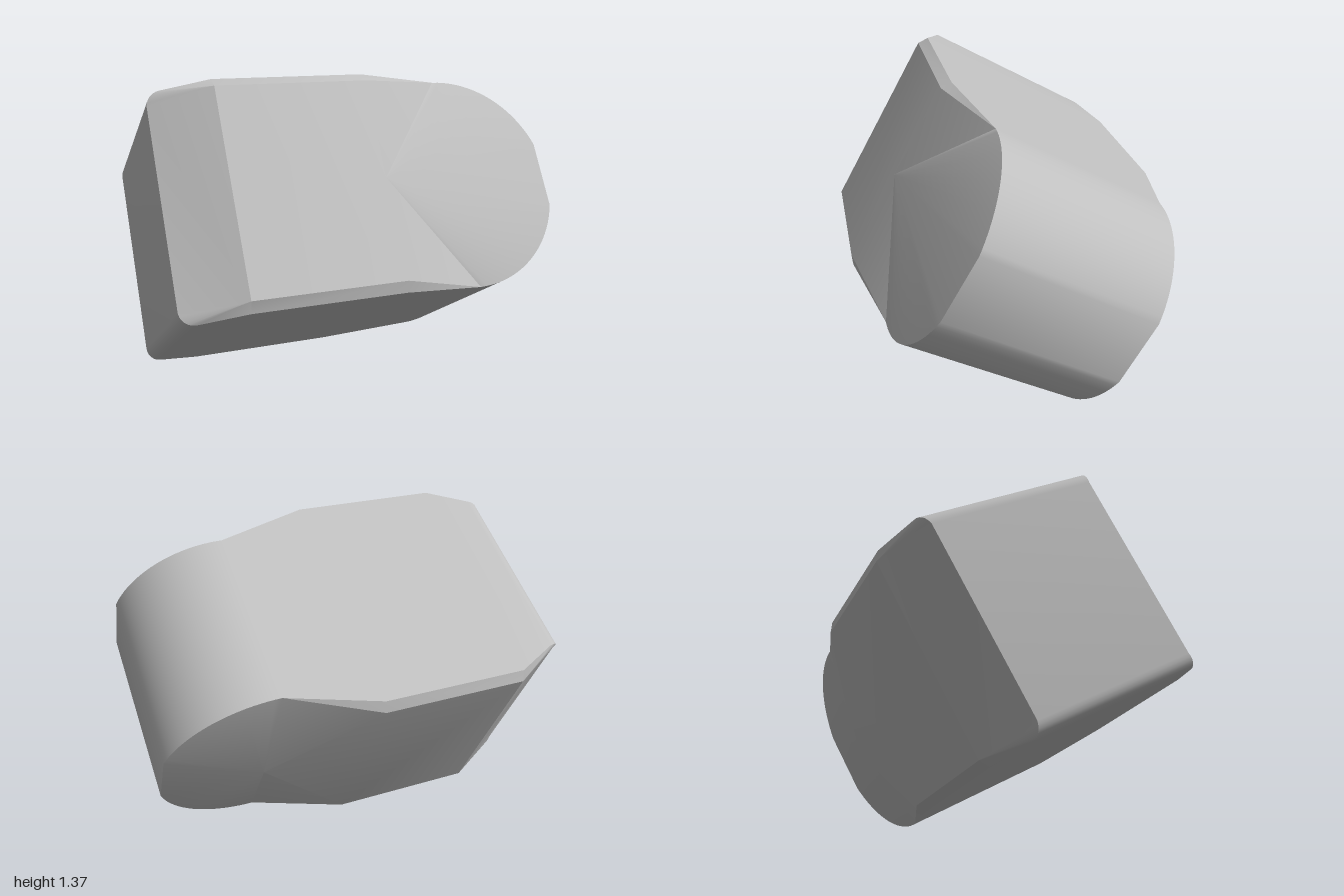
import * as THREE from 'three';
import { toCreasedNormals } from 'three/addons/utils/BufferGeometryUtils.js';

const HALF = 0.483;   // half height of the block
const FLAT = 0.56;    // half thickness at the flat middle
const RIM = 0.415;    // half thickness at both ends

// Right half-outline seen face on, counterclockwise: [along, up, half thickness, inner corner]
function outline() {
  const upper = [];
  // Rounded nose with a small flat tip
  const a0 = Math.asin(0.15 / HALF);
  for (let i = 0; i <= 20; i++) {
    const a = a0 + (Math.PI / 2 - a0) * i / 20;
    upper.push([0.467 + HALF * Math.cos(a), HALF * Math.sin(a), RIM, 'hub']);
  }
  // Straight edge, thickest between these two points
  upper.push([0.06, HALF, 0.53, 'nose'], [-0.6, HALF, 0.53, 'tail']);
  // Small rounded corner at the square end
  for (let i = 0; i <= 6; i++) {
    const a = Math.PI / 2 * (1 + i / 6);
    upper.push([-0.79 + 0.06 * Math.cos(a), HALF - 0.06 + 0.06 * Math.sin(a),
      0.44 - 0.025 * i / 6, 'tail']);
  }
  const lower = upper.map(([w, u, h, k]) => [w, -u, h, k]).reverse();
  return [...upper, ...lower];
}

function blockGeometry() {
  const ring = outline();
  const pos = [];
  const tri = (a, b, c) => {
    const area = new THREE.Vector3(...b).sub(new THREE.Vector3(...a))
      .cross(new THREE.Vector3(...c).sub(new THREE.Vector3(...a))).length();
    if (area > 1e-7) pos.push(...a, ...b, ...c);
  };
  const n = ring.length;

  // Side wall
  for (let i = 0; i < n; i++) {
    const [w0, u0, h0] = ring[i], [w1, u1, h1] = ring[(i + 1) % n];
    tri([w0, u0, -h0], [w1, u1, -h1], [w1, u1, h1]);
    tri([w0, u0, -h0], [w1, u1, h1], [w0, u0, h0]);
  }

  // Both big faces: bevels, end chamfer, nose fan and flat middle
  for (const side of [1, -1]) {
    const hub = side > 0 ? [0.06, 0, FLAT] : [0.5, 0, -0.49];
    const inner = (p) => p[3] === 'hub' ? hub
      : [p[3] === 'nose' ? 0.06 : -0.6, Math.sign(p[1]) * 0.44, side * FLAT];
    const face = (a, b, c) => side > 0 ? tri(a, b, c) : tri(a, c, b);
    for (let i = 0; i < n; i++) {
      const p = ring[i], q = ring[(i + 1) % n];
      const a = [p[0], p[1], side * p[2]], b = [q[0], q[1], side * q[2]];
      const c = inner(q), d = inner(p);
      if (p[3] === 'nose' && q[3] === 'hub') {
        face(a, b, d);
        face(b, c, d);
      } else {
        face(a, b, c);
        face(a, c, d);
      }
    }
    const z = side * FLAT;
    face([-0.6, 0.44, z], [-0.6, -0.44, z], [0.06, -0.44, z]);
    face([-0.6, 0.44, z], [0.06, -0.44, z], [0.06, 0.44, z]);
    face([0.06, 0.44, z], [0.06, -0.44, z], hub);
  }

  const g = new THREE.BufferGeometry();
  g.setAttribute('position', new THREE.Float32BufferAttribute(pos, 3));
  return toCreasedNormals(g, 0.42);
}

export function createModel() {
  const model = new THREE.Group();
  model.name = 'tiltedBlock';
  const grey = new THREE.MeshStandardMaterial({ color: 0xbfbfbf });
  grey.name = 'grey';

  const block = new THREE.Mesh(blockGeometry(), grey);
  block.name = 'roundedBlock';
  // Leaned back 30 degrees, then turned 18 degrees
  block.rotation.set(-Math.PI / 6, -Math.PI / 10, 0, 'YXZ');
  block.position.set(-0.017, 0.684, 0.053);
  model.add(block);
  return model;
}
